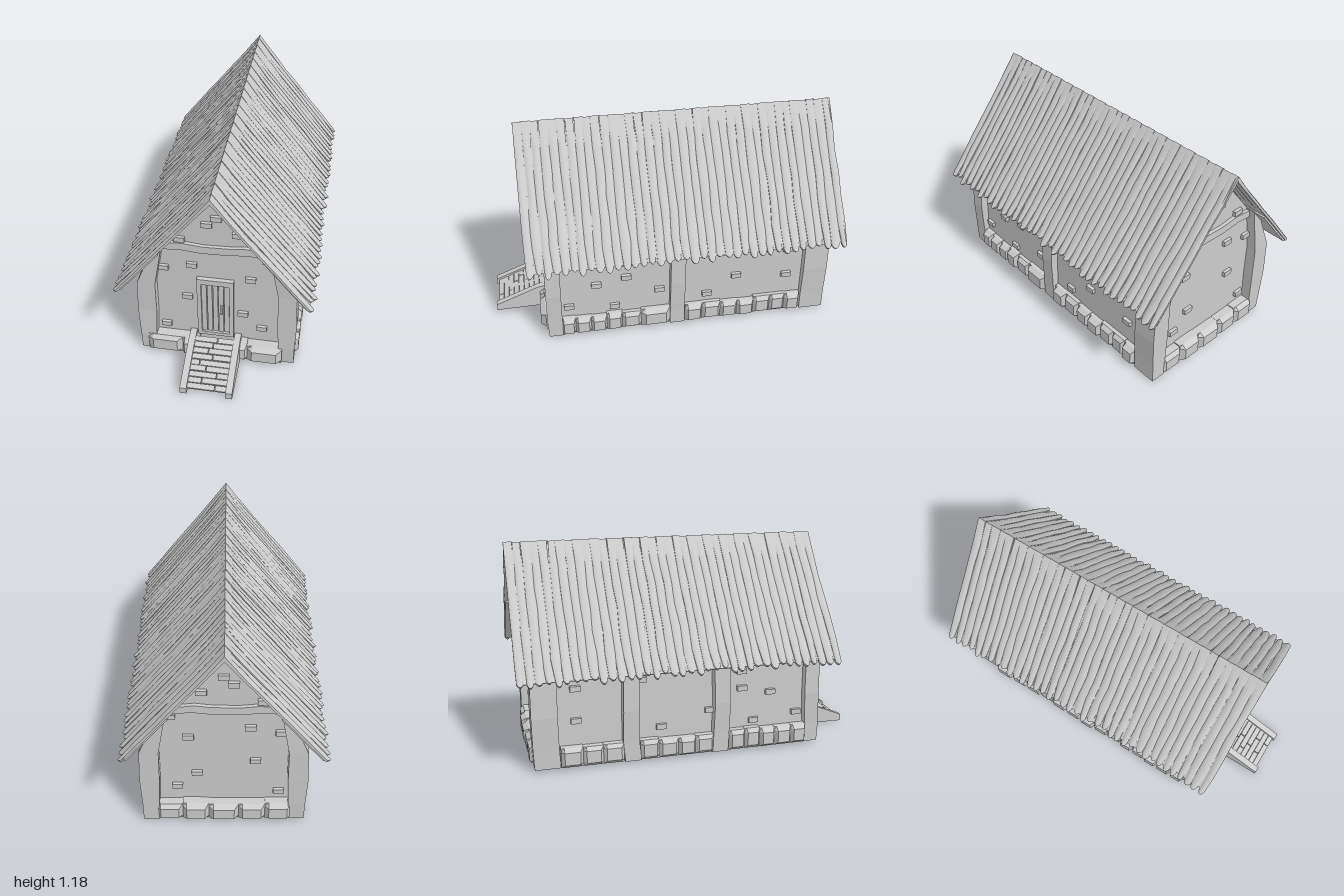
import * as THREE from 'three';

const mat = new THREE.MeshStandardMaterial({ color: 0xcccccc, flatShading: true });
let seed = 11;
const rand = () => (seed = (seed * 16807) % 2147483647) / 2147483647;
const jit = (a) => (rand() - 0.5) * 2 * a;

function add(parent, name, geo) {
  const mesh = new THREE.Mesh(geo, mat);
  mesh.name = name;
  parent.add(mesh);
  return mesh;
}

function group(parent, name) {
  const g = new THREE.Group();
  g.name = name;
  parent.add(g);
  return g;
}

// Box given by its limits on each axis
function block(parent, name, x0, x1, y0, y1, z0, z1) {
  const geo = new THREE.BoxGeometry(x1 - x0, y1 - y0, z1 - z0);
  geo.translate((x0 + x1) / 2, (y0 + y1) / 2, (z0 + z1) / 2);
  return add(parent, name, geo);
}

// Moves every vertex of a geometry by a rule
function bend(geo, rule) {
  const p = geo.attributes.position;
  const v = new THREE.Vector3();
  for (let i = 0; i < p.count; i++) {
    rule(v.fromBufferAttribute(p, i));
    p.setXYZ(i, v.x, v.y, v.z);
  }
  geo.computeVertexNormals();
  return geo;
}

function extrude(pts, depth) {
  const shape = new THREE.Shape(pts.map(([x, y]) => new THREE.Vector2(x, y)));
  return new THREE.ExtrudeGeometry(shape, { depth, bevelEnabled: false });
}

const FRONT = 0.66, BACK = -0.87, WALL = 0.4;
const ridgeY = 1.157, pitch = Math.atan2(0.655, 0.525), slope = Math.tan(pitch);

// Post leaning in under the roof, with its top cut to the roof slope
function post(parent, name, side, z0, z1) {
  const rows = [[0.01, 0.39, 0.085], [0.12, 0.388, 0.09], [0.3, 0.387, 0.105], [0.5, 0.382, 0.1], [0.78, 0.315, 0.07]];
  const wobble = rows.map(() => jit(0.006));
  const geo = new THREE.BoxGeometry(1, 1, 1, 1, 4, 1);
  return add(parent, name, bend(geo, (v) => {
    const k = Math.round((v.y + 0.5) * 4);
    const [y, cx, w] = rows[k];
    v.x = side * cx + v.x * w;
    v.y = k === 4 ? 1.14 - slope * Math.abs(v.x) : y;
    v.z = (z0 + z1) / 2 + v.z * (z1 - z0) + wobble[k];
  }));
}

// Row of touching pillow-shaped foundation stones along local x, bulging to local +z
function stoneRow(parent, edges, place) {
  for (let i = 0; i < edges.length - 1; i++) {
    const w = Math.abs(edges[i + 1] - edges[i]), top = 0.12 + jit(0.008), bulge = 0.06 + jit(0.006);
    const geo = bend(new THREE.BoxGeometry(1, 1, 1, 3, 3, 1), (v) => {
      const inner = Math.abs(v.x) < 0.4 && Math.abs(v.y) < 0.4;
      v.z = v.z < 0 ? -0.03 : inner ? bulge : 0.035;
      v.x *= Math.abs(v.x) < 0.4 ? w * 2.1 : w;
      v.y = 0.01 + (top - 0.01) * (0.5 + v.y * (Math.abs(v.y) < 0.4 ? 1.9 : 1));
    });
    place(add(parent, 'foundationStone', geo), (edges[i] + edges[i + 1]) / 2);
  }
}

// One slope of round-topped planks with a second layer under the eave
function roofSide(parent, side) {
  const g = group(parent, side > 0 ? 'roofLeft' : 'roofRight');
  const plank = (name, z, w, start, end, n, thick, wobble) => {
    const segs = 6, shift = [], wid = [], lift = [];
    for (let i = 0; i <= segs; i++) {
      shift.push(jit(wobble));
      wid.push(1 + jit(wobble * 25));
      lift.push(i ? jit(wobble * 0.5) : 0);
    }
    const geo = bend(new THREE.BoxGeometry(1, 1, 1, segs, 1, 4), (v) => {
      const t = side > 0 ? v.x + 0.5 : 0.5 - v.x;
      const k = Math.round(t * segs);
      const tip = k === segs && wobble ? 0.75 : 1;
      const dome = v.y > 0 && wobble && k ? 1 - 3 * v.z * v.z : 1;
      const round = k === segs && wobble ? 0.08 * v.z * v.z : 0;
      v.y = n + lift[k] + v.y * thick * dome;
      v.z = Math.min(0.8, Math.max(-1, z + shift[k] + v.z * w * wid[k] * tip));
      // mitre at the ridge, rounded end at the eave
      const bent = k === 0 || k === segs ? t : t * 0.97 + 0.01;
      const u = k === 0 && start === 0 ? -v.y * slope : start + (end - start) * bent - round;
      v.x = side * u;
    });
    geo.rotateZ(-side * pitch).translate(-0.005, ridgeY, 0);
    add(g, name, geo);
  };
  plank('sheathing', -0.1, 1.79, 0, 0.815, -0.004, 0.008, 0);
  plank('eaveBoard', -0.1, 1.78, 0.46, 0.81, -0.012, 0.012, 0);
  const count = 38, step = 1.8 / count;
  for (let i = 0; i < count; i++) {
    const z = -1 + (i + 0.5) * step;
    const n = i % 2 ? 0.001 : 0.003;
    plank('roofPlank', z, step * (1.06 + jit(0.14)), 0, 0.835 + jit(0.017), n, 0.02, 0.004);
  }
}

export function createModel() {
  const model = new THREE.Group();
  model.name = 'hut';

  // Walls as one gabled body
  const half = [[WALL, 0.01], [0.39, 0.5], [0.31, 1.14 - slope * 0.31]];
  const outline = [...half, [0, 1.14], ...half.map(([x, y]) => [-x, y]).reverse()];
  add(model, 'walls', extrude(outline, FRONT - BACK).translate(0, 0, BACK));

  // Posts at the corners, one along the left wall and two along the right
  const posts = group(model, 'posts');
  for (const s of [1, -1]) {
    post(posts, 'frontPost', s, 0.625, 0.71);
    post(posts, 'backPost', s, -0.925, -0.785);
  }
  post(posts, 'middlePost', 1, -0.085, 0);
  for (const z of [-0.39, 0.12]) post(posts, 'middlePost', -1, z - 0.045, z + 0.045).position.x = -0.012;

  // Foundation stones between the posts
  const stones = group(model, 'foundation');
  const leftRows = [[0.63, 0.55, 0.46, 0.37, 0.28, 0.17, 0.0], [-0.09, -0.19, -0.3, -0.4, -0.5, -0.6, -0.69, -0.78]];
  const rightRows = [[0.63, 0.54, 0.44, 0.35, 0.26, 0.165], [0.075, -0.03, -0.13, -0.24, -0.345], [-0.435, -0.55, -0.66, -0.78]];
  for (const [s, rows, x] of [[1, leftRows, 0.385], [-1, rightRows, -0.4]]) {
    for (const row of rows) {
      stoneRow(stones, row, (m, c) => {
        m.rotation.y = s * Math.PI / 2;
        m.position.set(x, 0, c);
      });
    }
  }
  for (const row of [[-0.39, -0.195, -0.1], [0.1, 0.17, 0.365]]) {
    stoneRow(stones, row, (m, c) => m.position.set(c, 0, 0.68));
  }
  stoneRow(stones, [-0.36, -0.22, -0.08, 0.08, 0.22, 0.36], (m, c) => {
    m.rotation.y = Math.PI;
    m.position.set(c, 0, -0.88);
  });

  // Wavy beams across both gables
  const wave = [[-0.32, 0.73], [-0.2, 0.742], [-0.08, 0.73], [0.08, 0.735], [0.16, 0.745], [0.25, 0.735], [0.31, 0.728]];
  const beam = [...wave, ...wave.map(([x, y]) => [x * 0.9, y + 0.045]).reverse()];
  add(model, 'frontBeam', extrude(beam, 0.025).translate(0, 0, FRONT - 0.005));
  add(model, 'backBeam', extrude(beam, 0.025).translate(0, 0, BACK - 0.02));

  // Loose bricks standing proud of the walls
  const bricks = group(model, 'bricks');
  const gable = [[0, 0.96], [-0.05, 0.915], [0.11, 0.865], [-0.195, 0.805], [0.27, 0.71], [-0.135, 0.635],
    [-0.29, 0.6], [0.18, 0.57], [-0.165, 0.405], [0.14, 0.315], [0.245, 0.22], [-0.29, 0.18]];
  for (const [x, y] of gable) {
    for (const z of [FRONT, BACK]) {
      block(bricks, 'brick', x - 0.028, x + 0.028, y - 0.015, y + 0.015, z - 0.018, z + 0.018);
    }
  }
  const flank = [[0.58, 0.19], [0.42, 0.325], [0.32, 0.165], [0.25, 0.36], [0.245, 0.46], [0.06, 0.25],
    [-0.33, 0.46], [-0.22, 0.18], [-0.39, 0.29], [-0.69, 0.44], [-0.69, 0.26]];
  for (const [z, y] of flank) {
    for (const s of [1, -1]) {
      const x = s * 0.395;
      block(bricks, 'brick', x - 0.02, x + 0.02, y - 0.015, y + 0.015, z - 0.028, z + 0.028);
    }
  }

  // Door with frame, planks and handle
  const door = group(model, 'door');
  block(door, 'frameRight', -0.11, -0.087, 0.14, 0.55, FRONT - 0.01, FRONT + 0.025);
  block(door, 'frameLeft', 0.067, 0.09, 0.14, 0.55, FRONT - 0.01, FRONT + 0.025);
  block(door, 'frameTop', -0.087, 0.067, 0.515, 0.55, FRONT - 0.01, FRONT + 0.025);
  block(door, 'threshold', -0.087, 0.067, 0.14, 0.162, FRONT - 0.01, FRONT + 0.025);
  for (let i = 0; i < 5; i++) {
    const x = -0.087 + i * 0.0308;
    block(door, 'doorPlank', x + 0.001, x + 0.028, 0.162, 0.514, FRONT - 0.01, FRONT + 0.012 + jit(0.003));
  }
  block(door, 'handlePlate', 0.018, 0.032, 0.305, 0.368, FRONT, FRONT + 0.02);
  block(door, 'handleGrip', 0.021, 0.029, 0.315, 0.355, FRONT + 0.02, FRONT + 0.035);

  // Entrance ramp: solid side rails with split treads between
  const ramp = group(model, 'ramp');
  const profile = [[0.66, 0.005], [1, 0], [1, 0.04], [0.9, 0.08], [0.75, 0.14], [0.7, 0.15], [0.66, 0.15]];
  for (const x of [-0.155, 0.095]) {
    // the profile is drawn along -z, then turned to run front to back
    const rail = extrude(profile.map(([z, y]) => [-z, y]).reverse(), 0.037);
    add(ramp, 'rail', rail.rotateY(Math.PI / 2).translate(x, 0, 0));
  }
  const treads = 9;
  for (let i = 0; i < treads; i++) {
    const t = (i + 0.5) / treads, split = -0.012 + jit(0.06);
    for (const [x0, x1] of [[-0.12, split - 0.002], [split + 0.002, 0.097]]) {
      const tread = block(ramp, 'tread', x0, x1, -0.007, 0.007, -0.015, 0.015);
      tread.position.set(0, 0.025 + t * 0.115 + jit(0.002), 0.985 - t * 0.28);
      tread.rotation.x = 0.3;
    }
  }

  // Plank roof
  const roof = group(model, 'roof');
  roofSide(roof, 1);
  roofSide(roof, -1);
  return model;
}
